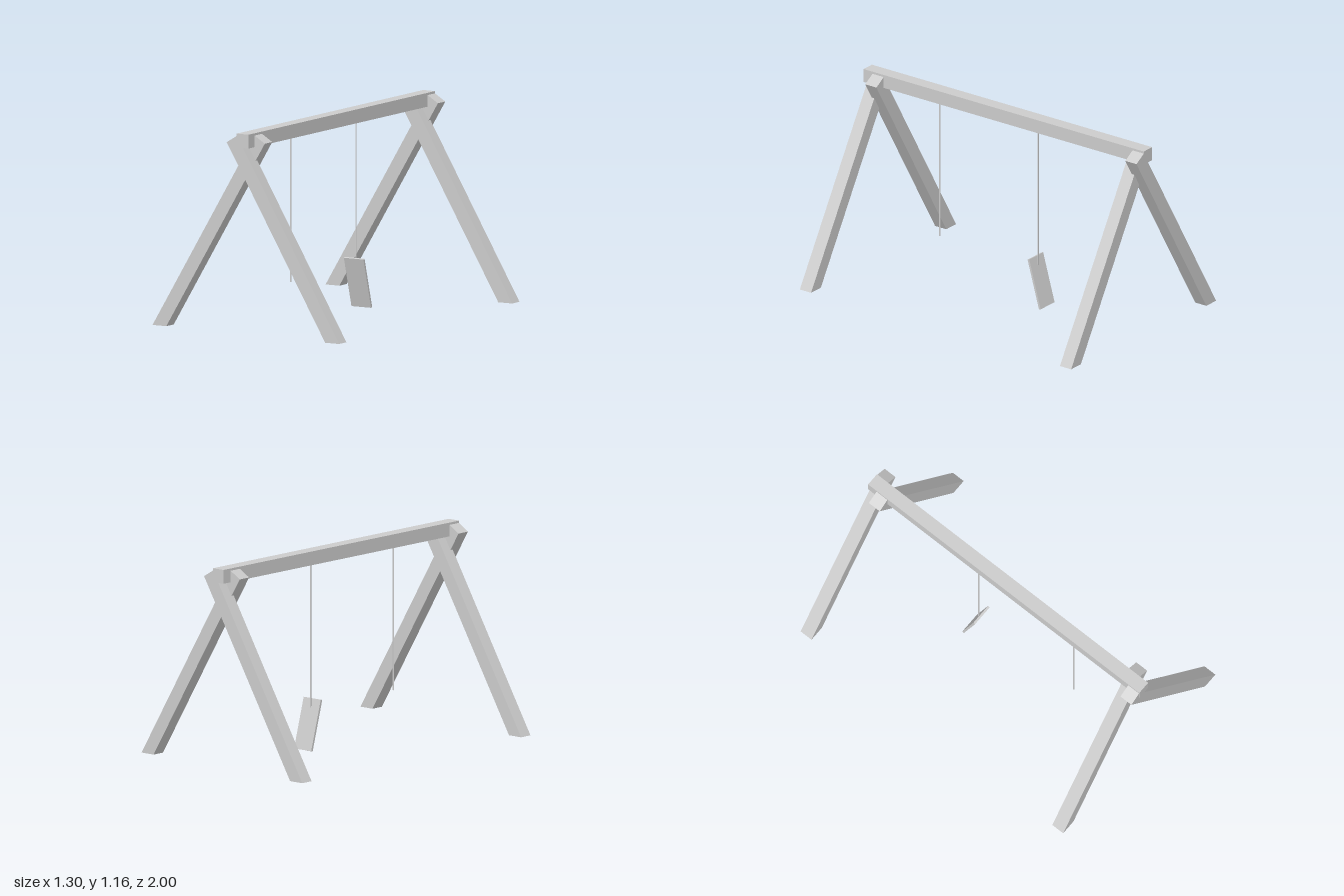
import * as THREE from 'three';

export function createModel() {
  const group = new THREE.Group();
  const material = new THREE.MeshStandardMaterial({ color: 0xcccccc, flatShading: true });

  function add(name, geometry, x, y, z, parent = group) {
    const mesh = new THREE.Mesh(geometry, material);
    mesh.name = name;
    mesh.position.set(x, y, z);
    parent.add(mesh);
    return mesh;
  }

  // Top beam running front to back
  add('topBeam', new THREE.BoxGeometry(0.08, 0.08, 2), 0, 1.12, 0);

  // Slanted leg: foot cut level with the ground, top end cut square
  const depth = 0.08;
  const profile = [[0.555, 0], [0.648, 0], [-0.04, 1.147], [-0.109, 1.105]];
  function legGeometry(side) {
    const points = profile.map(([x, y]) => new THREE.Vector2(side * x, y));
    return new THREE.ExtrudeGeometry(new THREE.Shape(points), { depth, bevelEnabled: false });
  }

  // Crossed leg pairs at both ends, each right-hand leg set slightly forward
  for (const [end, z] of [['front', 0.856], ['back', -1]]) {
    const frame = new THREE.Group();
    frame.name = end + 'Frame';
    group.add(frame);
    add(end + 'RightLeg', legGeometry(-1), 0, 0, z, frame);
    add(end + 'LeftLeg', legGeometry(1), 0, 0, z + 0.062, frame);
  }

  // Two ropes hanging from the beam
  const ropeBottom = 0.243, ropeTop = 1.09;
  const rope = new THREE.CylinderGeometry(0.004, 0.004, ropeTop - ropeBottom, 8);
  for (const [name, z] of [['frontRope', 0.485], ['backRope', -0.216]]) {
    add(name, rope, 0, (ropeBottom + ropeTop) / 2, z);
  }

  // Seat plank dangling from the back rope
  const seat = add('seat', new THREE.BoxGeometry(0.132, 0.3, 0.013), 0, 0.149, -0.237);
  seat.rotation.x = 0.275;

  return group;
}
